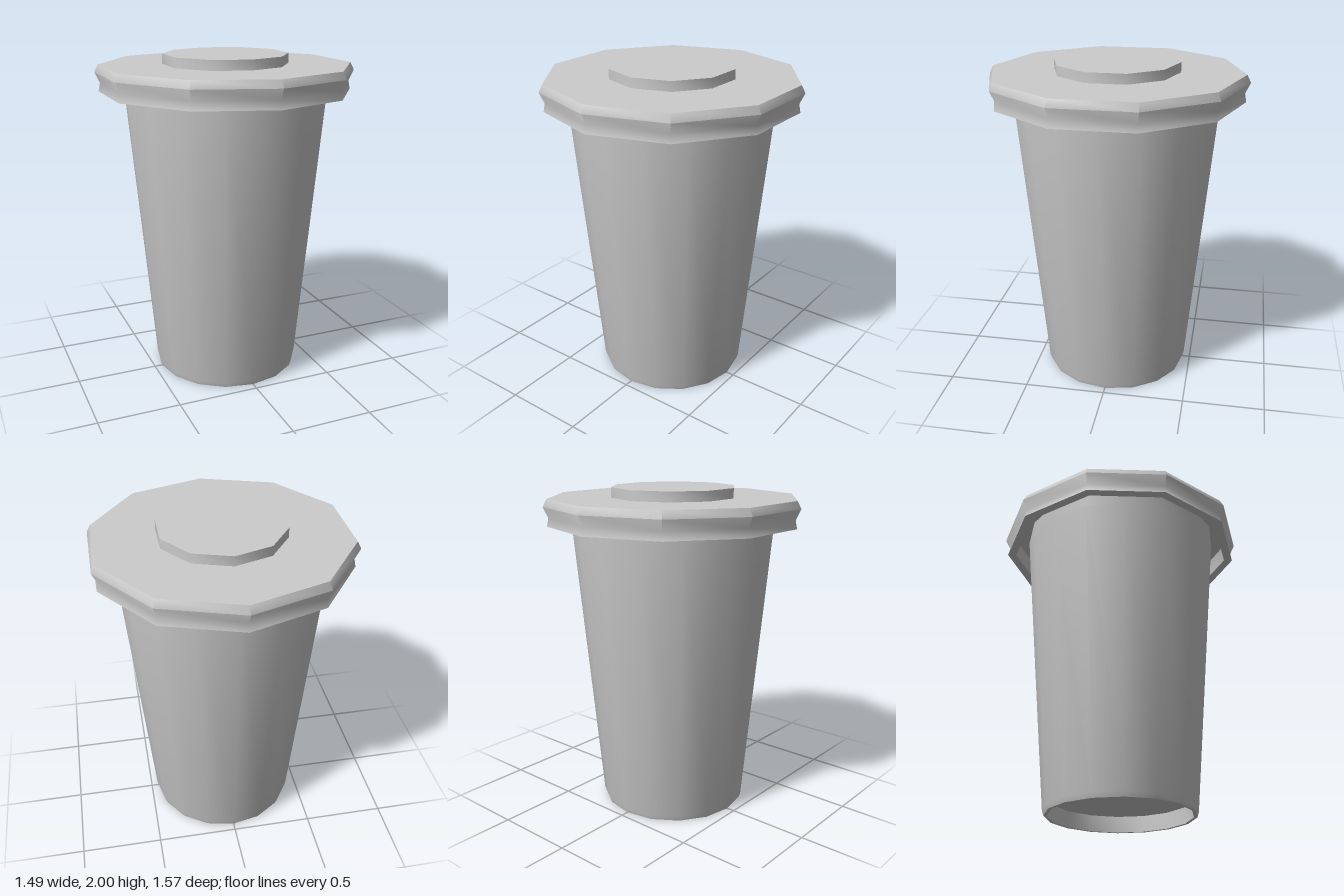
import * as THREE from 'three';
import { toCreasedNormals } from 'three/addons/utils/BufferGeometryUtils.js';

const material = new THREE.MeshStandardMaterial({ color: 0xcccccc });

// Revolve an [radius, height] profile; a corner always points along +z
function turned(name, sides, profile) {
  const points = profile.map(([r, y]) => new THREE.Vector2(r, y));
  const geometry = toCreasedNormals(new THREE.LatheGeometry(points, sides), 0.9);
  const mesh = new THREE.Mesh(geometry, material);
  mesh.name = name;
  return mesh;
}

export function createModel() {
  const model = new THREE.Group();
  model.name = 'liddedBin';

  // Tapered body with a recessed floor and a small bevel at the foot
  model.add(turned('body', 16, [
    [0, 0.1], [0.43, 0.1], [0.43, 0], [0.45, 0],
    [0.46, 0.03], [0.617, 1.78], [0.625, 1.88], [0, 1.88],
  ]));

  // Ten-sided hollow lid with a pinched rim
  model.add(turned('lid', 10, [
    [0, 1.88], [0.7, 1.88], [0.71, 1.78], [0.765, 1.78],
    [0.755, 1.83], [0.785, 1.895], [0.762, 1.94], [0, 1.94],
  ]));

  // Raised centre of the lid
  model.add(turned('lidKnob', 10, [
    [0, 1.93], [0.38, 1.93], [0.38, 2], [0, 2],
  ]));

  return model;
}
